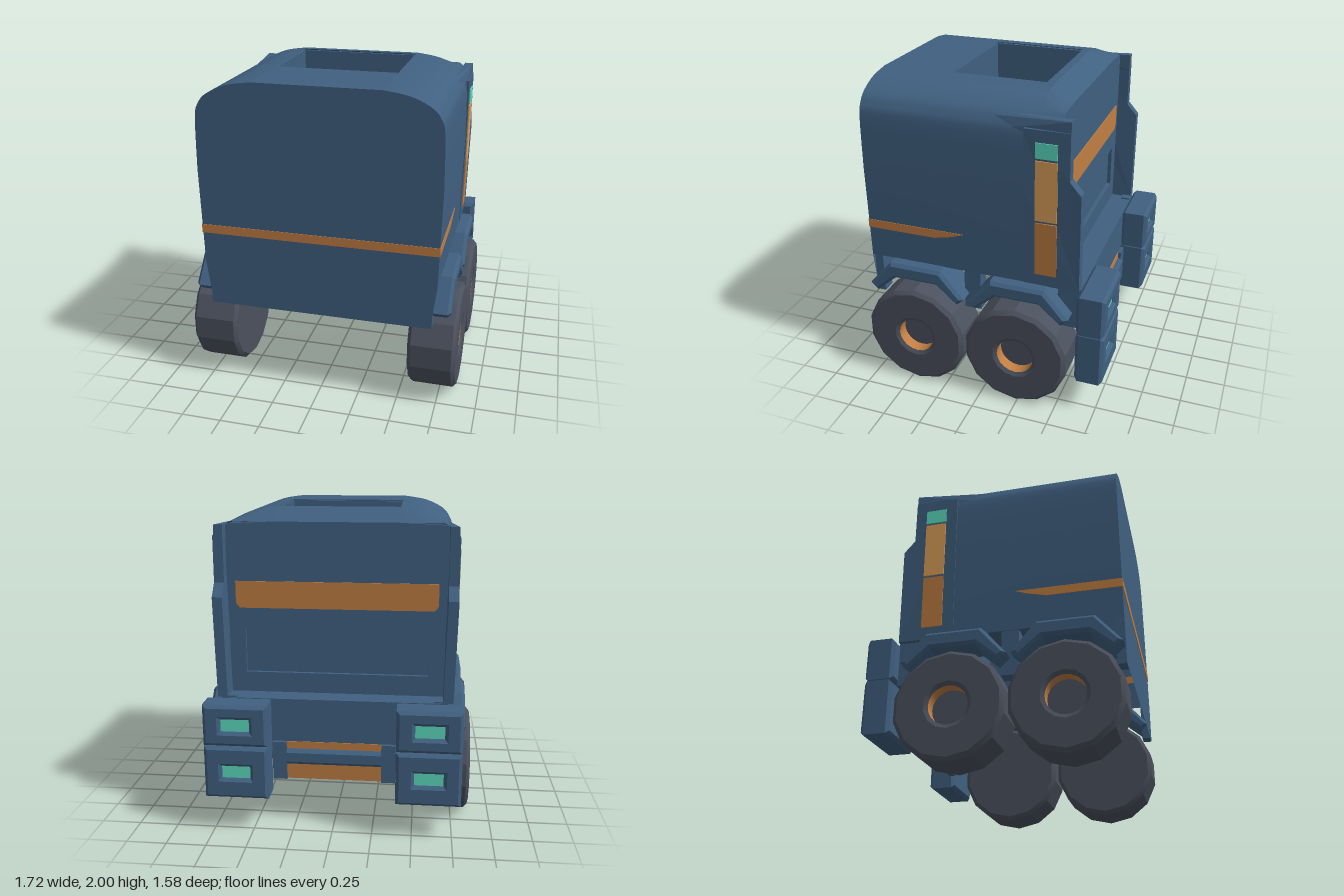
import * as THREE from 'three';
import { toCreasedNormals } from 'three/addons/utils/BufferGeometryUtils.js';
import { ConvexGeometry } from 'three/addons/geometries/ConvexGeometry.js';

const flat = (name, color) => {
  const m = new THREE.MeshStandardMaterial({ color, side: THREE.DoubleSide });
  m.name = name;
  return m;
};
const V2 = (p) => new THREE.Vector2(p[0], p[1]);

export function createModel() {
  const model = new THREE.Group();
  model.name = 'truckBody';
  const blue = flat('bluePaint', 0x406080);
  const orange = flat('orangePaint', 0xc07e42);
  const amber = flat('amberPanel', 0xdc9f5a);
  const cyan = flat('cyanLight', 0x5cdcc0);
  const rubber = flat('darkRubber', 0x4b515e);

  const add = (parent, name, geo, mat) => {
    const mesh = new THREE.Mesh(geo, mat);
    mesh.name = name;
    parent.add(mesh);
    return mesh;
  };
  // box given by its limits
  const box = (x0, x1, y0, y1, z0, z1) =>
    new THREE.BoxGeometry(x1 - x0, y1 - y0, z1 - z0).translate((x0 + x1) / 2, (y0 + y1) / 2, (z0 + z1) / 2);
  const rect = (C, x0, x1, y0, y1) => new C([[x0, y0], [x1, y0], [x1, y1], [x0, y1]].map(V2));
  // extrude a [z, y] outline from x0 to x1, with an optional bevel
  const extrudeX = (pts, x0, x1, bevel = 0) =>
    new THREE.ExtrudeGeometry(new THREE.Shape(pts.map(([z, y]) => new THREE.Vector2(-z, y))), {
      depth: x1 - x0 - 2 * bevel, bevelEnabled: bevel > 0, bevelSize: bevel, bevelThickness: bevel,
      bevelOffset: -bevel, bevelSegments: 1,
    }).rotateY(Math.PI / 2).translate(x0 + bevel, 0, 0);
  // follow the inward lean of the lower body side
  const lean = (geo) => {
    const p = geo.attributes.position;
    for (let i = 0; i < p.count; i++) p.setX(i, p.getX(i) - Math.max(0, 1.45 - p.getY(i)) * 0.022);
    geo.computeVertexNormals();
    return geo;
  };

  // half cross-section of the body, from roof edge to skirt
  const curve = new THREE.SplineCurve([[0.39, 2], [0.54, 1.975], [0.66, 1.92], [0.715, 1.86], [0.74, 1.77], [0.748, 1.45]].map(V2));
  const half = [...curve.getPoints(20).map((p) => [p.x, Math.min(p.y, 2)]), [0.735, 0.83]];
  const hipped = half.map(([x, y]) => [x, Math.min(y, 1.92)]);
  const mirrored = (pts) => [...pts, ...pts.map(([x, y]) => [-x, y]).reverse()].map(V2);

  // body flank lofted through cross-sections
  const rings = [[0.787, half], [-0.33, half], [-0.47, hipped]];
  const pos = [];
  for (let r = 0; r < rings.length - 1; r++) {
    const [za, A] = rings[r], [zb, B] = rings[r + 1];
    for (let i = 0; i < A.length - 1; i++) {
      const a = [...A[i], za], b = [...A[i + 1], za], c = [...B[i + 1], zb], d = [...B[i], zb];
      pos.push(...a, ...b, ...c, ...a, ...c, ...d);
    }
  }
  const loft = new THREE.BufferGeometry();
  loft.setAttribute('position', new THREE.Float32BufferAttribute(pos, 3));
  const flank = toCreasedNormals(loft, 0.4);

  // roof with hatch opening
  const roof = rect(THREE.Shape, -0.39, 0.39, -0.787, 0.33);
  roof.holes.push(rect(THREE.Path, -0.385, 0.385, -0.33, 0.28));
  add(model, 'roof', new THREE.ShapeGeometry(roof).rotateX(-Math.PI / 2).translate(0, 2, 0), blue);
  add(model, 'roofHip', new THREE.PlaneGeometry(0.78, Math.hypot(0.14, 0.08))
    .rotateX(-Math.PI / 2 - Math.atan2(0.08, 0.14)).translate(0, 1.96, -0.4), blue);

  // hatch well
  const well = new THREE.Group();
  well.name = 'hatchWell';
  model.add(well);
  for (const s of [-1, 1]) {
    add(well, 'wellSide', box(s * 0.395 - 0.01, s * 0.395 + 0.01, 1.3, 1.99, -0.28, 0.33), blue);
    add(well, 'wellEnd', box(-0.4, 0.4, 1.3, 1.99, 0.025 + s * 0.315 - 0.01, 0.025 + s * 0.315 + 0.01), blue);
  }
  add(well, 'wellFloor', box(-0.4, 0.4, 1.28, 1.3, -0.3, 0.35), blue);

  // flat front wall, reaching below the sides
  add(model, 'frontWall', new THREE.ShapeGeometry(new THREE.Shape(mirrored([...half, [0.7, 0.55]]))).translate(0, 0, 0.787), blue);
  add(model, 'frontStripe', box(-0.741, 0.741, 1.035, 1.09, 0.782, 0.791), orange);

  // back wall with recessed panel
  const back = new THREE.Shape(mirrored(hipped.filter(([, y], i) => y < 1.92 || i === 0)));
  back.holes.push(rect(THREE.Path, -0.58, 0.58, 0.96, 1.24));
  add(model, 'backWall', new THREE.ExtrudeGeometry(back, { depth: 0.03, bevelEnabled: false }).translate(0, 0, -0.47), blue);
  add(model, 'backRecess', box(-0.59, 0.59, 0.95, 1.25, -0.445, -0.435), blue);
  const band = new THREE.Shape([[-0.61, 1.38], [0.61, 1.38], [0.635, 1.41], [0.635, 1.55], [-0.635, 1.55], [-0.635, 1.41]].map(V2));
  add(model, 'backStripe', new THREE.ExtrudeGeometry(band, { depth: 0.008, bevelEnabled: false }).translate(0, 0, -0.476), orange);

  // rear bumper and grille
  add(model, 'bumper', box(-0.71, 0.71, 0.55, 0.83, -0.615, -0.47), blue);
  add(model, 'grillePanel', box(-0.31, 0.31, 0.3, 0.55, -0.62, -0.59), orange);
  add(model, 'grilleBar', extrudeX([[-0.575, 0.41], [-0.575, 0.5], [-0.635, 0.505], [-0.655, 0.485], [-0.655, 0.425], [-0.635, 0.405]], -0.3, 0.3), blue);

  // wheel profiles, turned around the axle
  const turn = (pts, n) => toCreasedNormals(
    new THREE.LatheGeometry(pts.map(V2), n, Math.PI / 2).rotateZ(-Math.PI / 2), n < 16 ? 0.3 : 0.5);
  const tyre = turn([[0, -0.15], [0.315, -0.15], [0.34, -0.128], [0.34, 0.128], [0.315, 0.15], [0.145, 0.15]], 14);
  const lip = turn([[0.146, 0.15], [0.12, 0.135]], 20);
  const rim = turn([[0.12, 0.135], [0.12, 0.06]], 20);
  const cap = turn([[0.12, 0.06], [0, 0.06]], 20);

  for (const s of [1, -1]) {
    const side = new THREE.Group();
    side.name = s > 0 ? 'leftSide' : 'rightSide';
    side.scale.x = s;
    model.add(side);

    add(side, 'flank', flank, blue);
    add(side, 'sideStripe', extrudeX([[0.79, 1.035], [0.33, 1.035], [0.22, 1.06], [0.13, 1.09], [0.79, 1.09]], 0.735, 0.744), orange);

    // corner fin with its tapering top
    add(side, 'cornerFin', lean(extrudeX([[-0.26, 0.83], [-0.26, 1.45], [-0.26, 1.84], [-0.54, 1.84], [-0.54, 1.55],
      [-0.61, 1.47], [-0.61, 1.45], [-0.61, 0.83]], 0.69, 0.753)), blue);
    const wedge = [[0.69, 1.905, -0.54], [0.745, 1.905, -0.54], [0.75, 1.8, -0.54], [0.69, 1.8, -0.54],
      [0.675, 1.9, -0.04], [0.7, 1.88, -0.04], [0.725, 1.8, -0.04], [0.69, 1.8, -0.04]];
    add(side, 'finTop', new ConvexGeometry(wedge.map((p) => new THREE.Vector3(...p))), blue);

    // narrow side windows
    [['upperLight', 1.67, 1.765, cyan], ['upperPanel', 1.275, 1.655, amber], ['lowerPanel', 0.91, 1.26, orange]]
      .forEach(([name, y0, y1, mat]) => add(side, name, lean(box(0.75, 0.759, y0, y1, -0.467, -0.333)), mat));

    // posts under the skirt
    for (const [z0, z1] of [[0.73, 0.785], [0.04, 0.15], [-0.61, -0.55]])
      add(side, 'skirtPost', box(0.62, 0.71, 0.55, 0.84, z0, z1), blue);

    add(side, 'grillePost', box(0.3, 0.39, 0.3, 0.55, -0.64, -0.6), blue);

    // stacked lamp housings
    for (const [name, y0, y1] of [['upperLamp', 0.565, 0.83], ['lowerLamp', 0.22, 0.56]]) {
      const cy = (y0 + y1) / 2, b = 0.02;
      const shape = rect(THREE.Shape, 0.395 + b, 0.8 - b, y0 + b, y1 - b);
      shape.holes.push(rect(THREE.Path, 0.6 - 0.11, 0.6 + 0.11, cy - 0.06, cy + 0.06));
      add(side, name + 'Housing', new THREE.ExtrudeGeometry(shape, {
        depth: 0.18 - 2 * b, bevelSize: b, bevelThickness: b, bevelSegments: 1,
      }).translate(0, 0, -0.79 + b), blue);
      add(side, name + 'Back', box(0.48, 0.72, cy - 0.07, cy + 0.07, -0.73, -0.615), blue);
      add(side, name + 'Light', box(0.505, 0.695, cy - 0.05, cy + 0.05, -0.765, -0.73), cyan);
    }

    // wheels and angular fenders
    for (const z of [0.45, -0.235]) {
      const wheel = new THREE.Group();
      wheel.name = z > 0 ? 'frontWheel' : 'rearWheel';
      wheel.position.set(0.71, 0.34, z);
      side.add(wheel);
      add(wheel, 'tyre', tyre, rubber);
      add(wheel, 'hubLip', lip, rubber);
      add(wheel, 'hubRim', rim, orange);
      add(wheel, 'hubCap', cap, rubber);
      const arch = [[0.33, 0.655], [0.175, 0.833], [-0.175, 0.833], [-0.33, 0.655], [-0.28, 0.61], [-0.14, 0.73], [0.14, 0.73], [0.28, 0.61]];
      add(side, 'fender', extrudeX(arch.map(([u, y]) => [z + u, y]), 0.6, 0.82, 0.02), blue);
    }
  }
  return model;
}
